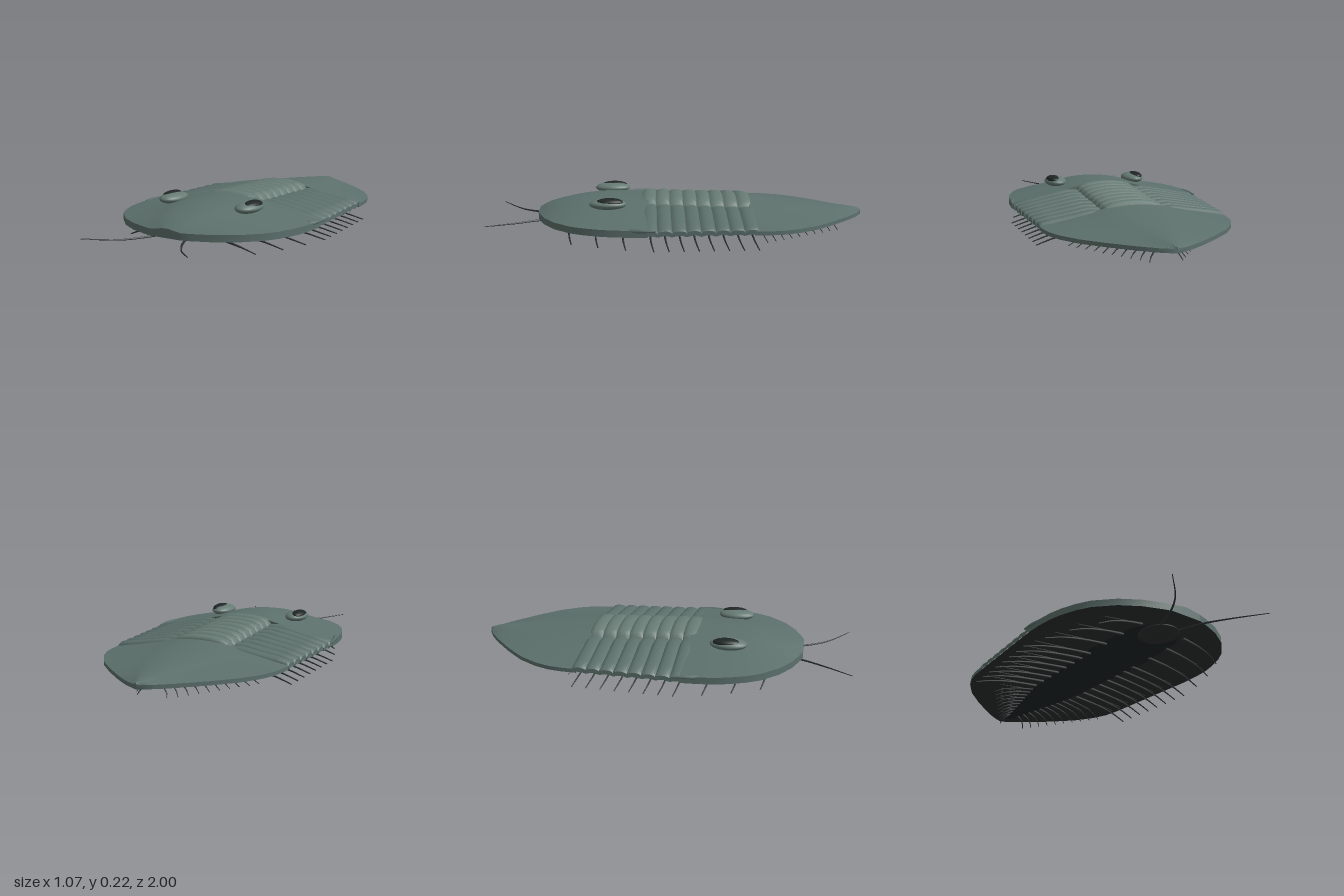
import * as THREE from 'three';
import { toCreasedNormals } from 'three/addons/utils/BufferGeometryUtils.js';

const shellMat = new THREE.MeshStandardMaterial({ color: 0x5c706b, side: THREE.DoubleSide });
const axisMat = new THREE.MeshStandardMaterial({ color: 0x667a73, side: THREE.DoubleSide });
const darkMat = new THREE.MeshStandardMaterial({ color: 0x2b3130 });
const lensMat = new THREE.MeshStandardMaterial({ color: 0x1e2625 });
const BASE = 0.075;

// Linear lookup in a list of [key, value] pairs with ascending keys
function lookup(pairs, k) {
  if (k <= pairs[0][0]) return pairs[0][1];
  for (let i = 1; i < pairs.length; i++) {
    const [a, va] = pairs[i - 1], [b, vb] = pairs[i];
    if (k <= b) return va + (vb - va) * (k - a) / (b - a);
  }
  return pairs[pairs.length - 1][1];
}

// Surface through rows of points; rows run front to back, points run -x to +x
function loft(rows, crease = 0.6) {
  const n = rows[0].length, index = [];
  for (let r = 0; r < rows.length - 1; r++) {
    for (let i = 0; i < n - 1; i++) {
      const a = r * n + i, c = a + n;
      index.push(a, a + 1, c, a + 1, c + 1, c);
    }
  }
  const g = new THREE.BufferGeometry();
  g.setAttribute('position', new THREE.Float32BufferAttribute(rows.flat(2), 3));
  g.setIndex(index);
  return toCreasedNormals(g, crease);
}

const flatten = row => row.map(([x, , z]) => [x, BASE, z]);

function add(parent, name, geometry, material) {
  const mesh = new THREE.Mesh(geometry, material);
  mesh.name = name;
  parent.add(mesh);
  return mesh;
}

// Half-width of the body along z, and the arch of its cross-section
const HEAD = [[0.16, 0.522], [0.25, 0.52], [0.33, 0.512], [0.4, 0.495], [0.48, 0.465], [0.55, 0.425],
  [0.64, 0.335], [0.7, 0.235], [0.735, 0.14], [0.75, 0.09]];
const TAIL = [[-0.998, 0.004], [-0.96, 0.075], [-0.9, 0.155], [-0.8, 0.27], [-0.7, 0.37], [-0.6, 0.437],
  [-0.52, 0.47], [-0.45, 0.482], [-0.37, 0.488]];
const HEAD_RISE = [[0.16, 0.088], [0.4, 0.085], [0.5, 0.077], [0.6, 0.061], [0.7, 0.035], [0.75, 0.012]];
const TAIL_RISE = [[-1, 0.008], [-0.96, 0.02], [-0.37, 0.08]];
const ARCH = [[0, 1], [0.1, 0.985], [0.2, 0.94], [0.3, 0.84], [0.4, 0.69], [0.55, 0.5], [0.7, 0.33], [0.85, 0.16], [1, 0]];

// Head or tail shield: arched top with a short upright rim
function shield(outline, rise, edge) {
  const rows = [...outline].reverse().map(([z, w]) => {
    const row = [[-w, BASE, z]];
    for (let i = -12; i <= 12; i++) {
      const u = i / 12;
      row.push([u * w, edge + lookup(rise, z) * lookup(ARCH, Math.abs(u)), z]);
    }
    row.push([w, BASE, z]);
    return row;
  });
  return loft([flatten(rows[0]), ...rows, flatten(rows[rows.length - 1])]);
}

// Body segment: half profile of [x, y] mirrored, with a scalloped bulge along z
const SCALLOP = [[0, -0.01], [0.15, 0.001], [0.4, 0.006], [0.7, 0.006], [0.9, 0.001], [1, -0.01]];
function segment(half, zFront, length, sweep) {
  const profile = [...half.slice(1).reverse().map(([x, y]) => [-x, y]), ...half];
  const rows = SCALLOP.map(([t, dy]) => profile.map(([x, y]) =>
    [x, Math.max(BASE, y + dy), zFront - t * length - sweep * x * x]));
  return loft([flatten(rows[0]), ...rows, flatten(rows[rows.length - 1])], 0.7);
}

// Tube along a smooth path that thins towards its end
function taperedTube(points, r0, r1) {
  const curve = new THREE.CatmullRomCurve3(points.map(p => new THREE.Vector3(...p)));
  const steps = 10, sides = 6;
  const g = new THREE.TubeGeometry(curve, steps, 1, sides);
  const p = g.attributes.position, v = new THREE.Vector3();
  for (let i = 0; i < p.count; i++) {
    const t = Math.floor(i / (sides + 1)) / steps, c = curve.getPointAt(t);
    v.fromBufferAttribute(p, i).sub(c).multiplyScalar(r0 + (r1 - r0) * t).add(c);
    p.setXYZ(i, v.x, v.y, v.z);
  }
  return g;
}

function ellipsoid(rx, ry, rz) {
  return new THREE.SphereGeometry(1, 24, 14).scale(rx, ry, rz);
}

// Flat plate from half-widths listed along z, facing down
function plate(pairs, y) {
  const pts = [...pairs.map(([z, w]) => new THREE.Vector2(w, z)),
    ...[...pairs].reverse().map(([z, w]) => new THREE.Vector2(-w, z))];
  return new THREE.ShapeGeometry(new THREE.Shape(pts)).rotateX(Math.PI / 2).translate(0, y, 0);
}

export function createModel() {
  const model = new THREE.Group();
  model.name = 'trilobite';

  // Shields
  add(model, 'headShield', shield(HEAD, HEAD_RISE, 0.11), shellMat);
  add(model, 'tailShield', shield(TAIL, TAIL_RISE, 0.095), shellMat);

  // Thorax: eight overlapping segments, each with side ribs and a raised axis ring
  const thorax = new THREE.Group();
  thorax.name = 'thorax';
  model.add(thorax);
  const count = 8, pitch = 0.072;
  for (let i = 0; i < count; i++) {
    const z = 0.195 - i * pitch, k = i / (count - 1);
    const w = 0.52 - 0.033 * k, drop = 0.016 * k;
    add(thorax, 'sideRibs', segment([[0, 0.16 - drop], [0.16, 0.16 - drop], [0.22, 0.164 - drop],
      [0.3, 0.15 - drop], [0.42, 0.124 - drop / 2], [w - 0.01, 0.107], [w, 0.098], [w, BASE]], z, pitch + 0.006, 0.03), shellMat);
    add(thorax, 'axisRing', segment([[0, 0.203 - drop], [0.05, 0.201 - drop], [0.1, 0.194 - drop],
      [0.14, 0.183 - drop], [0.158, 0.165 - drop], [0.165, 0.13]], z + 0.005, pitch + 0.008, 0), axisMat);
  }

  // Underside and belly strip
  add(model, 'underside', plate([...TAIL, ...HEAD], BASE), darkMat);
  add(model, 'belly', plate([[-0.92, 0.02], [-0.8, 0.06], [-0.4, 0.13], [0.2, 0.17], [0.5, 0.15], [0.62, 0.07]], 0.07), lensMat);
  add(model, 'mouthPlate', ellipsoid(0.1, 0.018, 0.11), darkMat).position.set(0, 0.064, 0.54);

  // Leg positions: z, tip reach, size
  const legs = [[0.56, 0.38, 1], [0.42, 0.45, 1], [0.28, 0.5, 1]];
  for (let i = 0; i < 8; i++) legs.push([0.14 - i * 0.0745, 0.535 - 0.004 * i, 1]);
  for (let i = 0; i < 10; i++) legs.push([-0.44 - i * 0.0455, 0.36 - i * 0.031, 0.65]);

  for (const s of [1, -1]) {
    const side = s > 0 ? 'left' : 'right';

    // Eyes with dark lenses
    add(model, side + 'Eye', ellipsoid(0.06, 0.028, 0.097), axisMat).position.set(s * 0.232, 0.182, 0.37);
    const lens = add(model, side + 'EyeLens', ellipsoid(0.036, 0.02, 0.07), lensMat);
    lens.position.set(s * 0.249, 0.196, 0.36);
    lens.rotation.z = -s * 0.1;

    // Short spine at each rear corner of the head
    add(model, side + 'CheekSpine', taperedTube([[s * 0.505, 0.105, 0.25], [s * 0.52, 0.107, 0.19],
      [s * 0.525, 0.106, 0.12]], 0.014, 0.005), shellMat);

    // Antenna
    add(model, side + 'Antenna', taperedTube([[s * 0.05, 0.068, 0.6], [s * 0.1, 0.068, 0.74],
      [s * 0.18, 0.068, 0.87], [s * 0.31, 0.083, 0.998]], 0.007, 0.002), darkMat);

    // Walking legs, each with a gill branch above it
    for (const [z, tip, size] of legs) {
      const root = Math.min(0.14, tip * 0.35);
      const at = f => s * (root + (tip - root) * f);
      add(model, side + 'Leg', taperedTube([[at(0), 0.066, z + 0.012], [at(0.4), 0.05, z + 0.012],
        [at(0.75), 0.028, z + 0.004], [at(1), 0.003, z - 0.012]], 0.008 * size, 0.003 * size), darkMat);
      add(model, side + 'Gill', taperedTube([[at(0), 0.068, z], [at(0.4), 0.066, z - 0.012],
        [at(0.8), 0.063, z - 0.03]], 0.006 * size, 0.003 * size), darkMat);
    }
  }
  return model;
}
